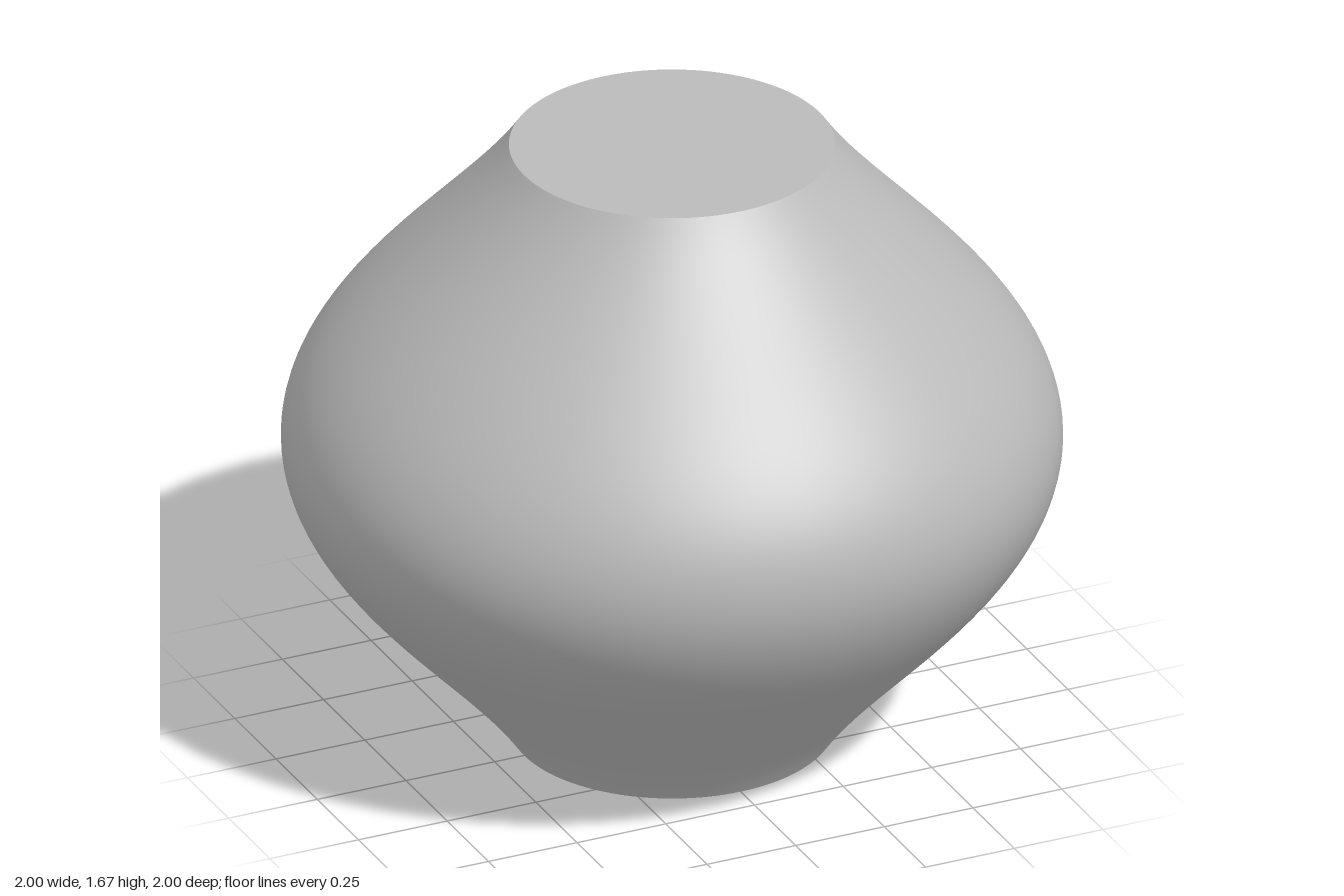
import * as THREE from 'three';

const HEIGHT = 1.667;
const HALF = HEIGHT / 2;
const END_RADIUS = 0.417;
const SEGMENTS = 128;

// Bulging profile: a cosine swell, widest at mid height and flaring inward at both ends
const WAVE = 2.85;
const SWELL = (1 - END_RADIUS) / (1 - Math.cos(WAVE * HALF));
const radiusAt = (y) => 1 - SWELL * (1 - Math.cos(WAVE * (y - HALF)));

export function createModel() {
  const model = new THREE.Group();
  model.name = 'vessel';
  const grey = new THREE.MeshStandardMaterial({ color: 0xbababa });
  grey.name = 'light grey';

  // Smooth turned body
  const profile = [];
  const steps = 64;
  for (let i = 0; i <= steps; i++) {
    const y = (HEIGHT * i) / steps;
    profile.push(new THREE.Vector2(radiusAt(y), y));
  }
  const body = new THREE.Mesh(new THREE.LatheGeometry(profile, SEGMENTS), grey);
  body.name = 'body';
  model.add(body);

  // Flat discs closing the top and the base
  for (const [name, y, turn] of [['topCap', HEIGHT, -Math.PI / 2], ['baseCap', 0, Math.PI / 2]]) {
    const cap = new THREE.Mesh(new THREE.CircleGeometry(END_RADIUS, SEGMENTS), grey);
    cap.name = name;
    cap.rotation.x = turn;
    cap.position.y = y;
    model.add(cap);
  }
  return model;
}
